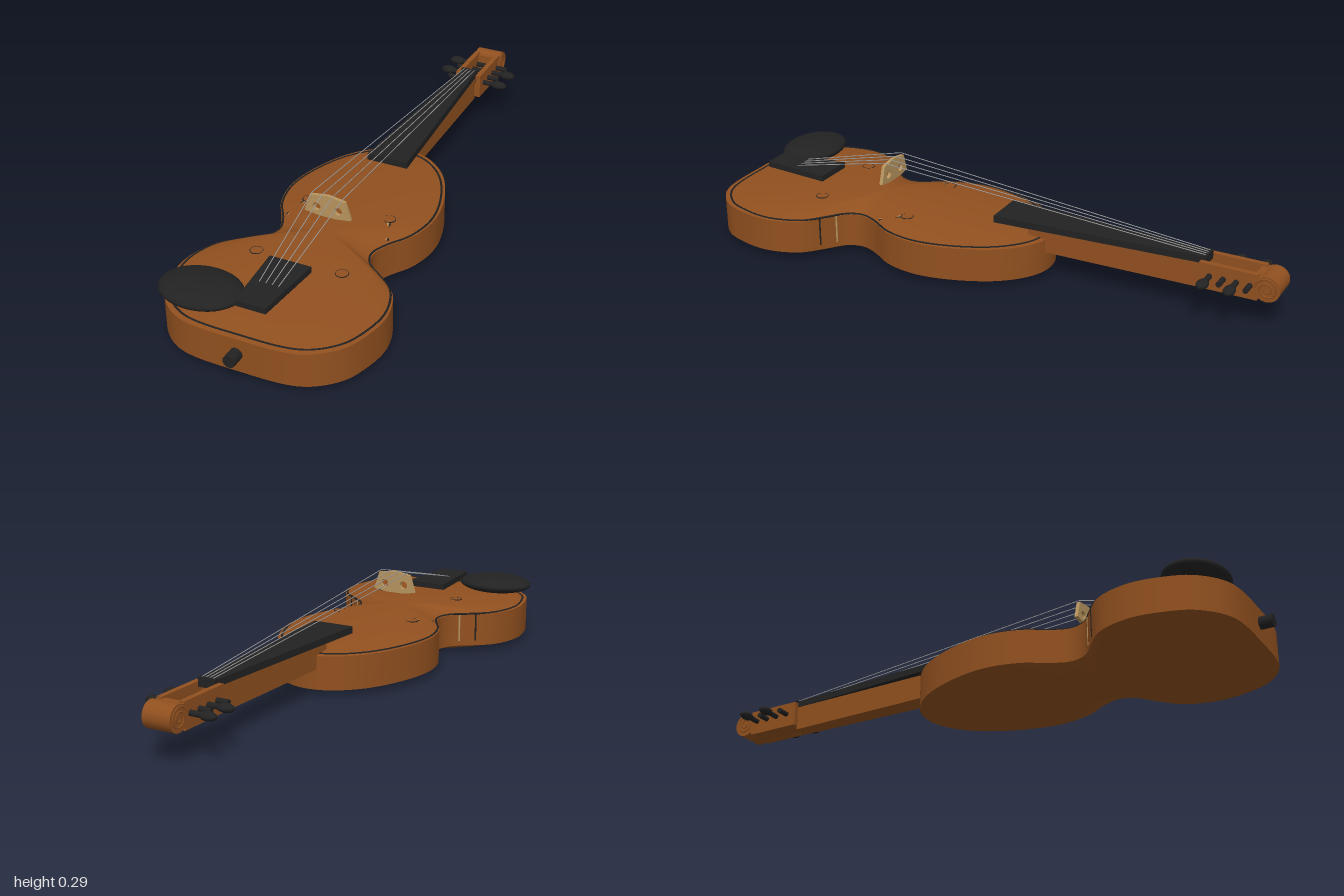
import * as THREE from 'three';

const mat = (name, color, side = THREE.FrontSide) => {
  const m = new THREE.MeshStandardMaterial({ color, side });
  m.name = name;
  return m;
};

export function createModel() {
  const wood = mat('varnished wood', 0x91501f);
  const ebony = mat('ebony', 0x222222);
  const maple = mat('pale maple', 0xb8955e);
  const steel = mat('string steel', 0xa0a0a0);
  const model = new THREE.Group();

  const add = (name, geo, material, x = 0, y = 0, z = 0) => {
    const m = new THREE.Mesh(geo, material);
    m.name = name;
    m.position.set(x, y, z);
    model.add(m);
    return m;
  };
  const rod = (name, a, b, r, material, sides = 6) => {
    const p = new THREE.Vector3(...a), d = new THREE.Vector3(...b).sub(p);
    const m = add(name, new THREE.CylinderGeometry(r, r, d.length(), sides), material);
    m.position.copy(p).addScaledVector(d, 0.5);
    m.quaternion.setFromUnitVectors(new THREE.Vector3(0, 1, 0), d.normalize());
    return m;
  };
  // Box between z0 and z1 whose half width changes from w0 to w1
  const taper = (name, w0, w1, y0, y1, z0, z1, material) => {
    const g = new THREE.BoxGeometry(2, y1 - y0, z1 - z0);
    const p = g.attributes.position;
    for (let i = 0; i < p.count; i++) p.setX(i, p.getX(i) * (p.getZ(i) < 0 ? w0 : w1));
    g.computeVertexNormals();
    return add(name, g, material, 0, (y0 + y1) / 2, (z0 + z1) / 2);
  };

  // Body outline: half widths along z, mirrored
  const half = [[0.08, -0.195], [0.165, -0.12], [0.23, 0.01], [0.257, 0.15], [0.235, 0.265], [0.185, 0.35],
    [0.165, 0.41], [0.185, 0.465], [0.24, 0.51], [0.305, 0.57], [0.34, 0.68], [0.325, 0.79], [0.29, 0.87], [0.2, 0.94]];
  const outlinePts = [[0, -0.215], ...half, [0, 0.957], ...half.map(([x, z]) => [-x, z]).reverse()];
  const outline = new THREE.CatmullRomCurve3(outlinePts.map(([x, z]) => new THREE.Vector3(x, 0, z)), true)
    .getSpacedPoints(160).slice(0, 160);
  const midZ = 0.4;
  const ring = (s, y) => outline.map(p => new THREE.Vector3(p.x * s, y, midZ + (p.z - midZ) * s));

  // Skin through scaled copies of the outline, given as [scale, y]
  const skin = (name, profile) => {
    const n = outline.length, pos = [], idx = [];
    profile.forEach(([s, y]) => ring(s, y).forEach(p => pos.push(p.x, p.y, p.z)));
    for (let j = 0; j < profile.length - 1; j++) for (let i = 0; i < n; i++) {
      const a = j * n + i, b = j * n + (i + 1) % n;
      idx.push(a, a + n, b, b, a + n, b + n);
    }
    const g = new THREE.BufferGeometry();
    g.setAttribute('position', new THREE.Float32BufferAttribute(pos, 3));
    g.setIndex(idx);
    g.computeVertexNormals();
    add(name, g, wood);
  };
  const topY = s => 0.135 + 0.037 * (1 - s * s);
  const steps = [0.001, 0.15, 0.3, 0.45, 0.6, 0.75, 0.88, 1];
  skin('back', steps.map(s => [s, 0.022 - 0.02 * (1 - s * s)]));
  skin('ribs', [[1, 0.022], [1, 0.135]]);
  skin('top', [...steps].reverse().map(s => [s, topY(s)]));

  // Dark inlay around the top edge
  add('purfling', new THREE.TubeGeometry(
    new THREE.CatmullRomCurve3(ring(0.967, topY(0.967)), true), 200, 0.0035, 5, true), ebony);

  // Sound holes: eyelets, a slanting slit and the waist slot
  for (const s of [-1, 1]) {
    for (const [x, z, y] of [[0.142, 0.245, 0.158], [0.145, 0.58, 0.162]]) {
      add('soundHoleEyelet', new THREE.CylinderGeometry(0.02, 0.02, 0.008, 24), wood, s * x, y, z);
      const rim = add('soundHoleRim', new THREE.TorusGeometry(0.02, 0.0015, 5, 24), ebony, s * x, y + 0.003, z);
      rim.rotation.x = Math.PI / 2;
    }
    rod('soundHoleSlit', [s * 0.147, 0.158, 0.265], [s * 0.172, 0.142, 0.335], 0.004, maple);
    rod('soundHoleSlitEdge', [s * 0.153, 0.158, 0.263], [s * 0.178, 0.142, 0.333], 0.003, ebony);
    rod('waistSlotEdge', [s * 0.205, 0.04, 0.486], [s * 0.205, 0.135, 0.486], 0.004, maple);
    rod('waistSlotEdge', [s * 0.252, 0.04, 0.52], [s * 0.252, 0.135, 0.52], 0.003, ebony);
  }

  // Neck, fingerboard, nut and tailpiece
  taper('neck', 0.027, 0.038, 0.09, 0.175, -0.745, -0.15, wood);
  taper('fingerboard', 0.027, 0.072, 0.174, 0.197, -0.745, -0.04, ebony);
  taper('nut', 0.03, 0.03, 0.17, 0.201, -0.757, -0.743, ebony);
  taper('tailpiece', 0.07, 0.05, 0.178, 0.198, 0.63, 0.87, ebony);

  // Open pegbox
  for (const s of [-1, 1])
    add('pegboxWall', new THREE.BoxGeometry(0.018, 0.086, 0.19), wood, s * 0.039, 0.144, -0.835);
  add('pegboxFloor', new THREE.BoxGeometry(0.07, 0.035, 0.19), wood, 0, 0.119, -0.835);
  add('pegboxEnd', new THREE.BoxGeometry(0.096, 0.07, 0.035), wood, 0, 0.146, -0.932);

  // Scroll with spiral carving
  const scroll = add('scroll', new THREE.CylinderGeometry(0.042, 0.042, 0.096, 32), wood, 0, 0.145, -0.958);
  scroll.rotation.z = Math.PI / 2;
  for (const s of [-1, 1]) {
    const pts = Array.from({ length: 30 }, (_, i) => {
      const a = i * 0.42, r = 0.037 - i * 0.001;
      return new THREE.Vector3(s * 0.048, 0.145 + r * Math.sin(a), -0.958 + r * Math.cos(a));
    });
    add('scrollSpiral', new THREE.TubeGeometry(new THREE.CatmullRomCurve3(pts), 60, 0.003, 5), wood);
  }

  // Pegs with alternating heads
  [-0.905, -0.862, -0.82, -0.776].forEach((z, i) => {
    const s = i % 2 ? 1 : -1;
    rod('pegShaft', [-0.09, 0.147, z], [0.09, 0.147, z], 0.009, ebony, 16);
    add('pegHead', new THREE.SphereGeometry(1, 20, 12), ebony, s * 0.108, 0.147, z).scale.set(0.029, 0.014, 0.019);
  });

  // Bridge with two round holes
  const shape = new THREE.Shape([[-0.079, 0.22], [-0.03, 0.213], [0.03, 0.213], [0.079, 0.22],
    [0.06, 0.28], [0, 0.289], [-0.06, 0.28]].map(p => new THREE.Vector2(...p)));
  for (const s of [-1, 1])
    shape.holes.push(new THREE.Path().absarc(s * 0.037, 0.243, 0.0135, 0, Math.PI * 2, true));
  add('bridge', new THREE.ExtrudeGeometry(shape, { depth: 0.012, bevelEnabled: false, curveSegments: 16 }),
    maple, 0, 0, 0.379);

  // Strings over the bridge
  for (const k of [-1.5, -0.5, 0.5, 1.5]) {
    const crown = [k * 0.035, 0.289, 0.385];
    rod('string', [k * 0.013, 0.201, -0.75], crown, 0.0015, steel, 5);
    rod('stringTail', crown, [k * 0.021, 0.198, 0.76], 0.0015, steel, 5);
  }

  // Chin rest and end button
  add('chinRest', new THREE.SphereGeometry(1, 40, 24), ebony, -0.183, 0.177, 0.836).scale.set(0.134, 0.032, 0.101);
  rod('endButton', [0, 0.084, 0.94], [0, 0.084, 1], 0.02, ebony, 24);

  return model;
}
